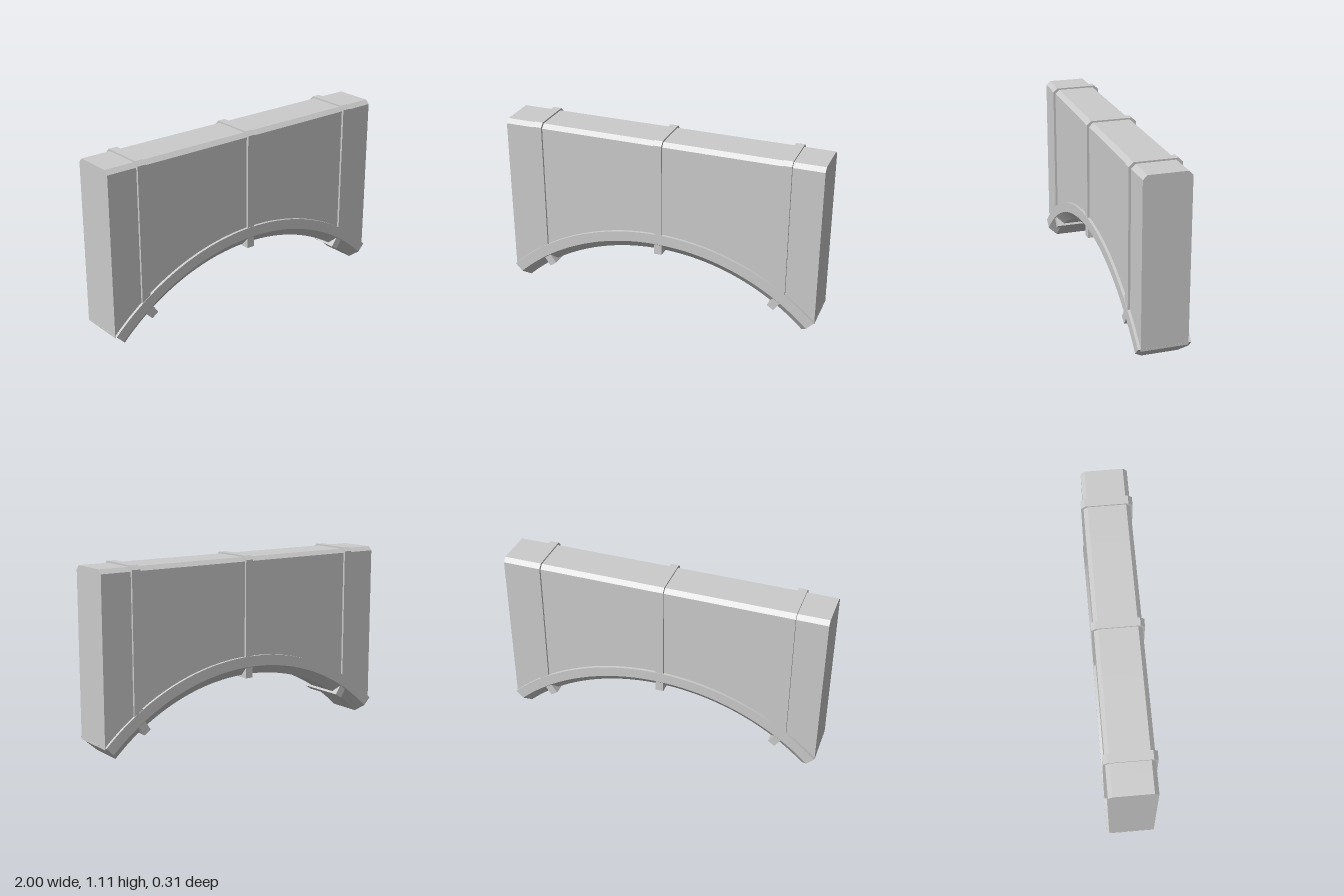
import * as THREE from 'three';
import { toCreasedNormals } from 'three/addons/utils/BufferGeometryUtils.js';

const CY = -0.942;                 // height of the arch centre
const R_IN = 1.317, R_EDGE = 1.372, R_OUT = 1.437;
const END = 0.77;                  // half angle of the arch
const SEGMENTS = 48;

const material = new THREE.MeshStandardMaterial({ color: 0xcccccc });
const arcY = (x, r) => CY + Math.sqrt(r * r - x * x);

// Skin convex cross-sections (lists of [x, y, z], ordered front, top, back) from -x to +x, with end caps
function loft(sections) {
  const pos = [];
  const tri = (...points) => points.forEach(p => pos.push(...p));
  const n = sections[0].length;
  for (let i = 0; i < sections.length - 1; i++) {
    const s = sections[i], t = sections[i + 1];
    for (let j = 0; j < n; j++) {
      const k = (j + 1) % n;
      tri(s[j], t[j], t[k]);
      tri(s[j], t[k], s[k]);
    }
  }
  const first = sections[0], last = sections[sections.length - 1];
  for (let k = 1; k < n - 1; k++) {
    tri(first[0], first[k], first[k + 1]);
    tri(last[0], last[k + 1], last[k]);
  }
  const g = new THREE.BufferGeometry();
  g.setAttribute('position', new THREE.Float32BufferAttribute(pos, 3));
  return toCreasedNormals(g, 0.3);
}

// Upright slab section with chamfered top edges
function slabSection(x, bottom, top, half, chamfer) {
  return [
    [x, bottom, half], [x, top - chamfer, half], [x, top, half - chamfer],
    [x, top, chamfer - half], [x, top - chamfer, -half], [x, bottom, -half],
  ];
}

export function createModel() {
  const model = new THREE.Group();
  model.name = 'archedWall';
  const add = (name, geometry) => {
    const mesh = new THREE.Mesh(geometry, material);
    mesh.name = name;
    model.add(mesh);
    return mesh;
  };

  // Wall above the arch, its underside following the curve
  const wall = [], ring = [];
  for (let i = 0; i <= SEGMENTS; i++) {
    const x = -1 + 2 * i / SEGMENTS;
    wall.push(slabSection(x, arcY(x, R_OUT - 0.01), 1.1, 0.14, 0.025));

    // Arch ring with chamfered lower edges
    const a = -END + 2 * END * i / SEGMENTS;
    ring.push([
      [R_IN, 0.108], [R_EDGE, 0.157], [R_OUT, 0.157],
      [R_OUT, -0.157], [R_EDGE, -0.157], [R_IN, -0.108],
    ].map(([r, z]) => [r * Math.sin(a), CY + r * Math.cos(a), z]));
  }
  add('wall', loft(wall));
  add('archRing', loft(ring));

  // Bands wrapping over the wall, rising from the arch ring
  [['rightBand', -0.785], ['centreBand', 0], ['leftBand', 0.785]].forEach(([name, x]) => {
    const half = x ? 0.027 : 0.025;
    const bottom = arcY(x, R_OUT) - 0.035;
    add(name, loft([x - half, x + half].map(px => slabSection(px, bottom, 1.11, 0.154, 0.025))));
  });

  // Cross ribs under the arch
  [['rightRib', -0.592], ['centreRib', 0], ['leftRib', 0.592]].forEach(([name, a]) => {
    const rib = add(name, new THREE.BoxGeometry(0.05, 0.07, 0.306));
    const r = 1.337;
    rib.position.set(r * Math.sin(a), CY + r * Math.cos(a), 0);
    rib.rotation.z = -a;
  });

  return model;
}
